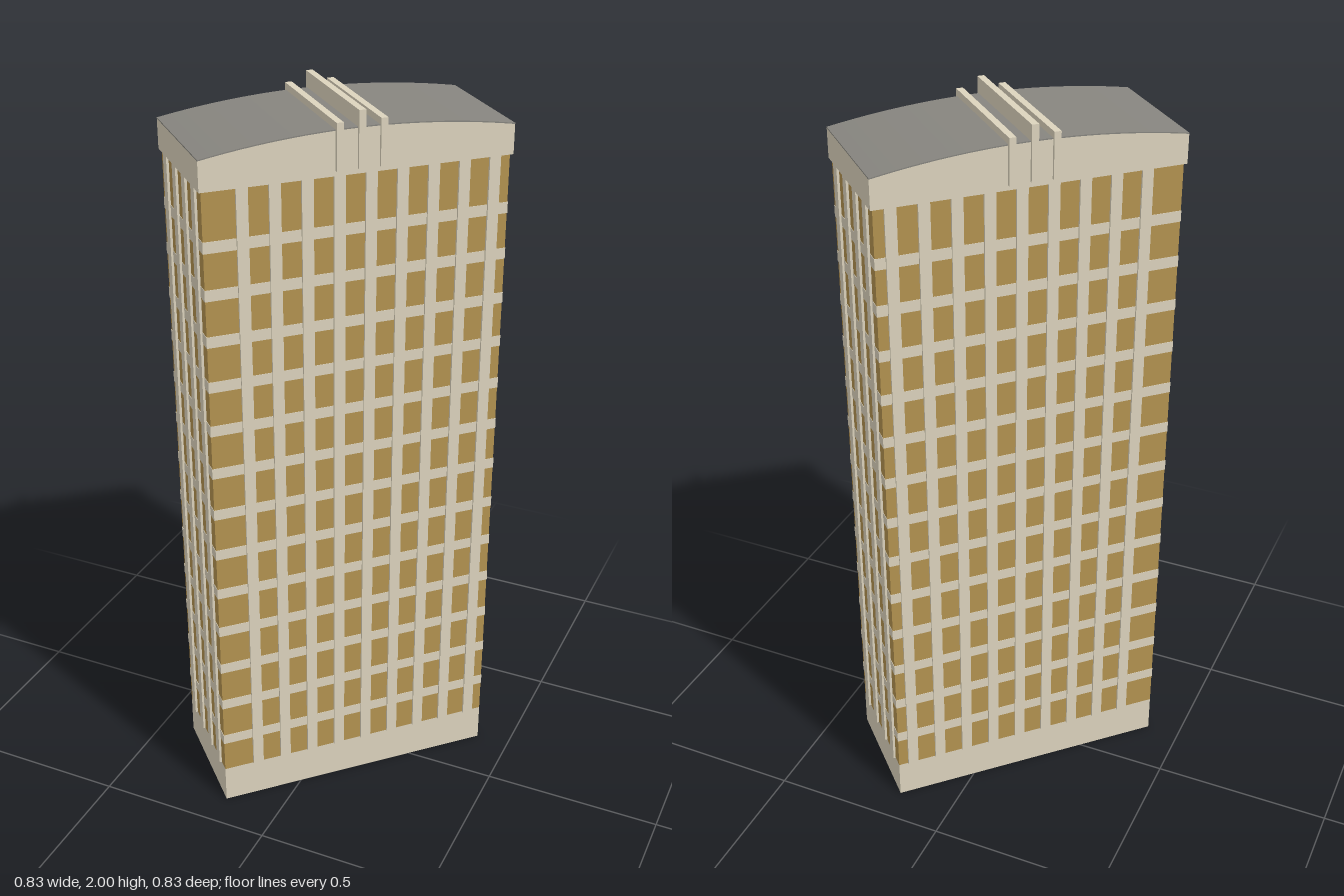
import * as THREE from 'three';

const material = (name, color) => {
  const m = new THREE.MeshStandardMaterial({ color });
  m.name = name;
  return m;
};

export function createModel() {
  const stone = material('pale stone', 0xdcd3bd);
  const glass = material('gold glass', 0xb39250);
  const roofing = material('grey roofing', 0x87857f);

  const tower = new THREE.Group();
  tower.name = 'tower';
  tower.rotation.y = Math.PI / 4; // plan sits diagonally

  const L = 0.802, W = 0.344, OUT = 0.0065; // body length, width, pier projection
  const BASE = 0.11, EAVE = 1.842;

  const add = (name, geometry, mat, x = 0, y = 0, z = 0) => {
    const mesh = new THREE.Mesh(geometry, mat);
    mesh.name = name;
    mesh.position.set(x, y, z);
    tower.add(mesh);
    return mesh;
  };
  const box = (name, mat, w, y0, y1, d, x = 0, z = 0) =>
    add(name, new THREE.BoxGeometry(w, y1 - y0, d), mat, x, (y0 + y1) / 2, z);

  // Plinth and glazed shaft
  box('base', stone, L, 0, BASE, W);
  box('glazedShaft', glass, L, BASE, EAVE, W);

  // Floor bands around the shaft
  for (let i = 0; i < 13; i++) {
    const y = 0.217 + i * 0.1237;
    box('floorBand', stone, L + 0.002, y - 0.015, y + 0.015, W + 0.002);
  }

  // Piers on the long sides, set off-centre
  for (let i = 0; i < 9; i++) {
    for (const s of [-1, 1]) {
      box('longSidePier', stone, 0.03, BASE, EAVE, OUT * 2, -0.302 + i * 0.0826, s * W / 2);
    }
  }
  // Piers on the short ends
  for (const z of [-0.123, -0.041, 0.041, 0.123]) {
    for (const s of [-1, 1]) {
      box('endPier', stone, OUT * 2, BASE, EAVE, 0.03, s * L / 2, z);
    }
  }

  // Crown with a shallow arched top
  const half = L / 2 + OUT, depth = W + OUT * 2;
  const arch = x => 1.955 - 0.036 * (x / half) ** 2;
  const arcPoints = lift => Array.from({ length: 25 }, (_, i) => {
    const x = half - (i / 24) * 2 * half;
    return new THREE.Vector2(x, arch(x) + lift);
  });
  const extrude = points => new THREE.ExtrudeGeometry(new THREE.Shape(points),
    { depth, bevelEnabled: false }).translate(0, 0, -depth / 2);
  add('crown', extrude([
    new THREE.Vector2(-half, EAVE), new THREE.Vector2(half, EAVE), ...arcPoints(0),
  ]), stone);
  add('roof', extrude([...arcPoints(0.003), ...arcPoints(0).reverse()]), roofing);

  // Fins running over the roof and down the fascia
  for (const [x, top] of [[-0.057, 1.975], [0, 2], [0.057, 1.975]]) {
    box('roofFin', stone, 0.018, 1.855, top, 0.372, x);
  }

  const model = new THREE.Group();
  model.name = 'officeTower';
  model.add(tower);
  return model;
}
